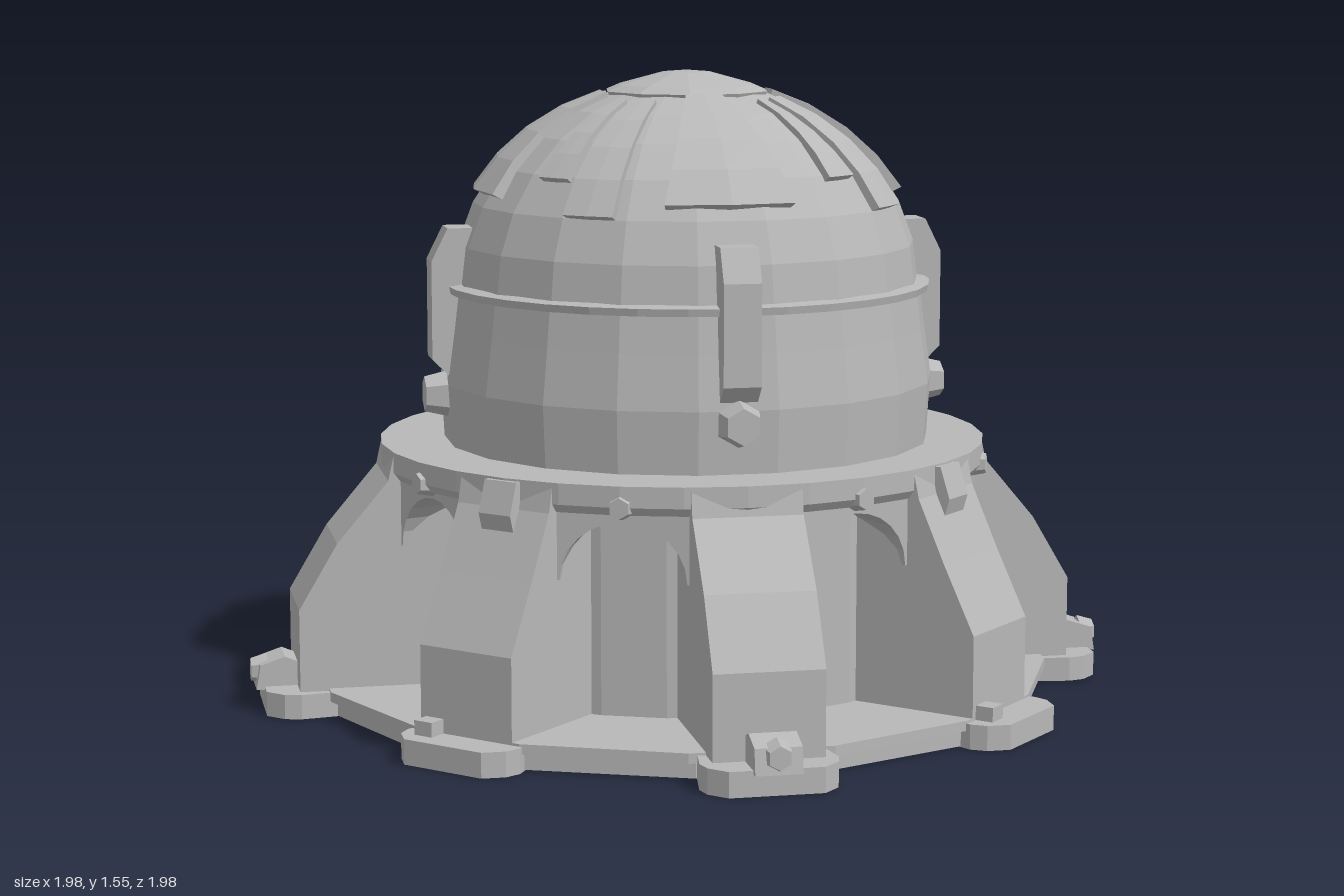
import * as THREE from 'three';

const PI = Math.PI;
const stone = new THREE.MeshStandardMaterial({ color: 0xb8b8b8, flatShading: true });
stone.name = 'pale grey';

const cardinal = [0, 1, 2, 3].map(i => i * PI / 2);
const diagonal = cardinal.map(a => a + PI / 4);
const between = Array.from({ length: 8 }, (_, i) => (i + 0.5) * PI / 4);

const poly = pts => new THREE.Shape(pts.map(p => new THREE.Vector2(p[0], p[1])));
const mirrored = pts => poly([...pts, ...pts.map(p => [-p[0], p[1]]).reverse()]);
const lathe = (pts, seg) => new THREE.LatheGeometry(pts.map(p => new THREE.Vector2(p[0], p[1])), seg);
const extrude = (shape, depth) => new THREE.ExtrudeGeometry(shape, { depth, bevelEnabled: false, curveSegments: 6 });

// outline in (width, radius), lying flat between two heights
const slab = (shape, y0, y1) => extrude(shape, y1 - y0).rotateX(PI / 2).translate(0, y1, 0);

// outline in (radius, height), extruded sideways
const rib = (pts, width) => extrude(poly(pts), width).translate(0, 0, -width / 2).rotateY(-PI / 2);

// stubby bolt pointing outwards
const bolt = (r, len, y, z) => new THREE.CylinderGeometry(r * 0.7, r, len, 6).rotateX(PI / 2).translate(0, y, z);

// plate bent over the dome: angles around (a) and up (p)
function domePlate(a0, a1, p0, p1, taper, lift) {
  const g = new THREE.BoxGeometry(1, 1, 1, 2, 4, 1);
  const pos = g.attributes.position;
  for (let i = 0; i < pos.count; i++) {
    const v = pos.getY(i) + 0.5;
    const a = (a0 + a1) / 2 + pos.getX(i) * (a1 - a0) * (1 - taper * v);
    const p = p0 + (p1 - p0) * v;
    const out = pos.getZ(i) > 0 ? lift * (1 - 0.5 * v) : -0.03;
    const r = (0.575 + out) * Math.cos(p);
    pos.setXYZ(i, r * Math.sin(a), 1.03 + (0.5 + out) * Math.sin(p), r * Math.cos(a));
  }
  g.computeVertexNormals();
  return g;
}

export function createModel() {
  const model = new THREE.Group();
  const add = (name, geo, parent = model) => {
    const m = new THREE.Mesh(geo, stone);
    m.name = name;
    parent.add(m);
    return m;
  };
  const around = (name, geo, angles, parent = model) =>
    angles.forEach(a => { add(name, geo, parent).rotation.y = a; });

  // base plate: straight edges running from foot to foot
  const rim = [];
  for (let i = 0; i < 8; i++) {
    const a = i * PI / 4, t = i % 2 ? 0.17 : 0.15;
    for (const s of [-t, t]) {
      rim.push([0.9 * Math.sin(a) + s * Math.cos(a), 0.9 * Math.cos(a) - s * Math.sin(a)]);
    }
  }
  add('basePlate', slab(poly(rim), 0.05, 0.074));

  // feet, and the recessed underside with raised sectors
  const foot = d => slab(mirrored([[0.14, 0.84], [0.16, 0.91 + d], [0.15, 0.95 + d], [0.11, 0.99 + d]]), 0.008, 0.068);
  around('foot', foot(0), cardinal);
  around('foot', foot(0.06), diagonal);
  around('undersideSector', slab(mirrored([[0.13, 0.55], [0.22, 0.84], [0.2, 0.872]]), 0.01, 0.06), between);
  add('undersideHub', new THREE.TorusGeometry(0.17, 0.015, 4, 12).rotateX(PI / 2).translate(0, 0.045, 0));

  // buttresses
  const leg = d => rib([[0.5, 0.06], [0.9 + d, 0.06], [0.9 + d, 0.27],
    [0.82 + d * 0.8, 0.43], [0.75, 0.58], [0.735, 0.648], [0.5, 0.648]], 0.26);
  around('buttress', leg(0), cardinal);
  around('buttress', leg(0.07), diagonal);

  // alcoves: vaulted tops spanning the legs, with a core behind
  add('innerCore', new THREE.CylinderGeometry(0.6, 0.6, 0.55, 24).translate(0, 0.34, 0));
  const vault = new THREE.Shape();
  vault.moveTo(-0.19, 0.63);
  vault.lineTo(-0.19, 0.42);
  vault.lineTo(-0.15, 0.42);
  vault.absellipse(0, 0.42, 0.15, 0.14, PI, 0, true);
  vault.lineTo(0.19, 0.42);
  vault.lineTo(0.19, 0.63);
  vault.closePath();
  around('alcoveVault', extrude(vault, 0.14).translate(0, 0, 0.575), between);
  around('archBolt', bolt(0.035, 0.05, 0.6, 0.735), between);

  // terrace
  add('terrace', lathe([[0.5, 0.58], [0.735, 0.58], [0.75, 0.6], [0.75, 0.65], [0.5, 0.65]], 32));

  // clamps at the top and foot of the buttresses
  around('legClamp', rib([[0.68, 0.53], [0.77, 0.52], [0.785, 0.57], [0.76, 0.645], [0.68, 0.645]], 0.09), cardinal);
  around('footClamp', rib([[0.95, 0.06], [1.07, 0.06], [1.06, 0.12], [1.0, 0.14], [0.95, 0.12]], 0.11), diagonal);
  around('footBolt', bolt(0.04, 0.04, 0.1, 1.06), diagonal);
  around('footStud', new THREE.BoxGeometry(0.05, 0.035, 0.05).translate(-0.09, 0.085, 0.92), cardinal);

  // turret: drum, lip, dome and cap
  const turret = new THREE.Group();
  turret.name = 'turret';
  turret.position.set(0.008, 0, -0.008);
  model.add(turret);
  add('drum', lathe([[0.6, 0.63], [0.61, 0.8], [0.592, 0.93], [0.58, 1.03]], 20), turret);
  add('lip', lathe([[0.56, 1.015], [0.598, 1.02], [0.602, 1.038], [0.56, 1.045]], 32), turret);
  const curve = Array.from({ length: 7 }, (_, i) => {
    const p = i / 6 * 1.25;
    return [0.575 * Math.cos(p), 1.03 + 0.5 * Math.sin(p)];
  });
  add('dome', lathe(curve, 20), turret);
  add('cap', lathe([[0.19, 1.47], [0.205, 1.505], [0.17, 1.52], [0.06, 1.55], [0, 1.555]], 10), turret);

  // raised plates on the dome
  around('domePlate', domePlate(-0.3, 0.3, 0.48, 1.2, 0.3, 0.022), diagonal, turret);
  around('domeStrip', domePlate(0.02, 0.26, 0.42, 1.15, -0.1, 0.02), cardinal, turret);
  around('domeStrip', domePlate(-0.22, -0.03, 0.6, 1.15, 0.4, 0.015), cardinal, turret);

  // side fins and bolts on the drum
  const fin = rib([[0.54, 0.84], [0.59, 0.81], [0.64, 0.86], [0.64, 1.1], [0.6, 1.18], [0.53, 1.18]], 0.09);
  around('fin', fin, diagonal, turret);
  around('drumBolt', bolt(0.062, 0.08, 0.77, 0.615), diagonal, turret);

  return model;
}
